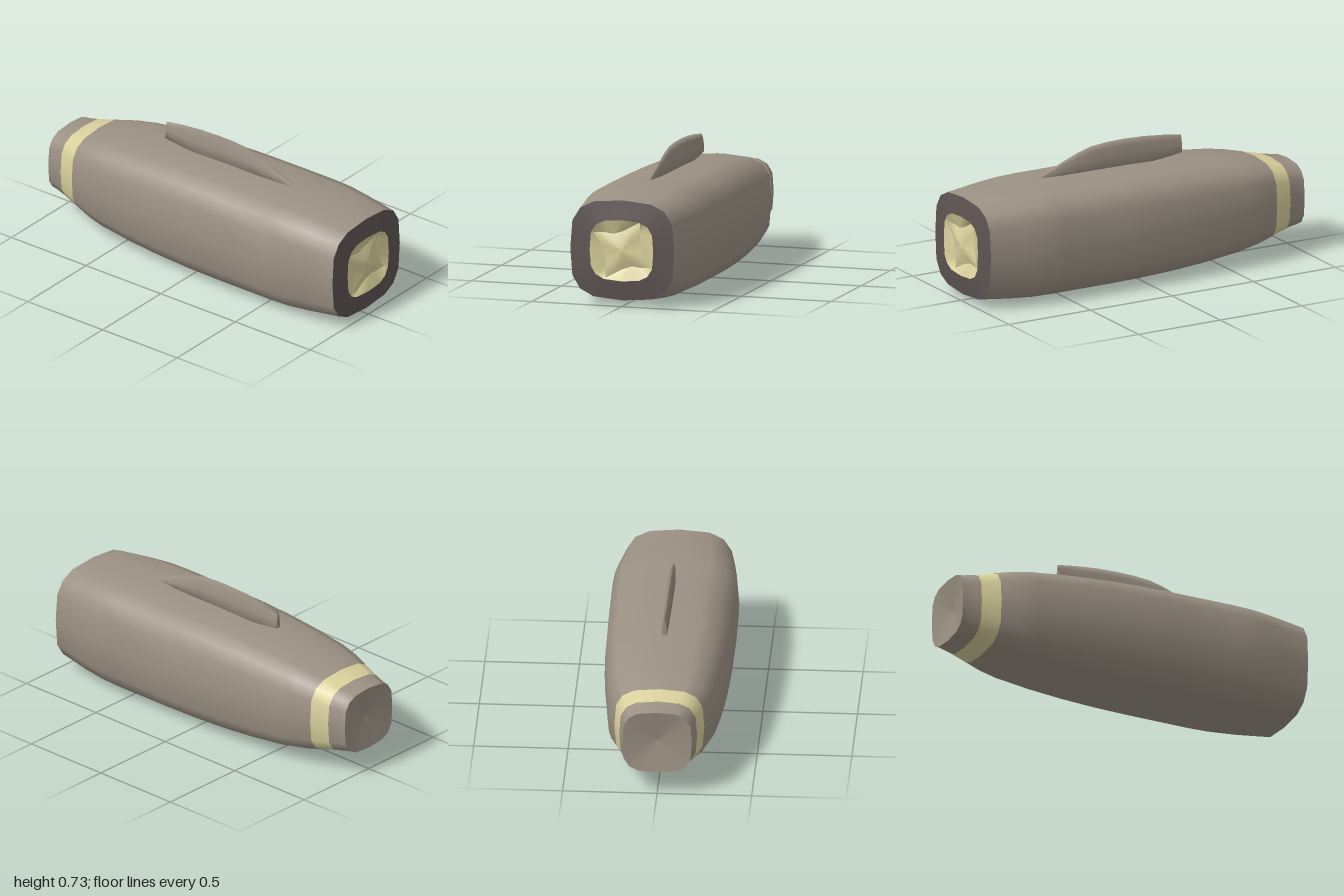
import * as THREE from 'three';

const mat = (name, color) => new THREE.MeshStandardMaterial({ name, color });

// Quarter of the 16-sided rounded-square section, mirrored all the way round
const quarter = [[1, 0], [0.96, 0.55], [0.81, 0.81], [0.55, 0.95]];
const section = [];
for (let q = 0; q < 4; q++) {
  for (let i = 0; i < 4; i++) {
    const swap = q % 2 === 1;
    const [a, b] = swap && i > 0 ? quarter[4 - i] : quarter[i];
    if (q === 0) section.push([a, b]);
    if (q === 1) section.push(i === 0 ? [0, 1] : [-a, b]);
    if (q === 2) section.push([-a, -b]);
    if (q === 3) section.push(i === 0 ? [0, -1] : [a, -b]);
  }
}
const CENTRE = 0.302;

// One ring of the hull section; scale may vary around the ring
const ring = (z, w, h, scale = () => 1) =>
  section.map(([x, y], i) => [x * w * scale(i), CENTRE + y * h * scale(i), z]);

// Skin a list of closed rings; slots gives the material index of each strip
function loft(rings, slots) {
  const n = rings[0].length;
  const geo = new THREE.BufferGeometry();
  geo.setAttribute('position', new THREE.Float32BufferAttribute(rings.flat(2), 3));
  const index = [];
  for (let k = 0; k < rings.length - 1; k++) {
    if (slots) geo.addGroup(index.length, n * 6, slots[k]);
    for (let i = 0; i < n; i++) {
      const a = k * n + i, b = k * n + (i + 1) % n;
      index.push(a, a + n, b, b, a + n, b + n);
    }
  }
  geo.setIndex(index);
  geo.computeVertexNormals();
  return geo;
}

export function createModel() {
  const group = new THREE.Group();
  const hull = mat('hull grey', 0x9c9184);
  const dark = mat('dark intake', 0x5e5453);
  const yellow = mat('pale yellow', 0xdad19c);
  const add = (name, geo, material) => {
    const mesh = new THREE.Mesh(geo, material);
    mesh.name = name;
    group.add(mesh);
  };

  // Hull: z, half width, half height; the strip from -0.8 to -0.9 is yellow
  const stations = [
    [0.985, 0.289, 0.268], [0.95, 0.294, 0.272], [0.8, 0.318, 0.288], [0.67, 0.335, 0.297],
    [0.55, 0.34, 0.299], [0.2, 0.338, 0.299], [0, 0.334, 0.297], [-0.2, 0.325, 0.29],
    [-0.4, 0.311, 0.277], [-0.6, 0.29, 0.257], [-0.7, 0.27, 0.24], [-0.8, 0.238, 0.216],
    [-0.9, 0.206, 0.193], [-0.96, 0.19, 0.181], [-1, 0.184, 0.176],
  ];
  add('hull', loft(stations.map((s) => ring(...s)), stations.map((s) => (s[0] === -0.8 ? 1 : 0))),
    [hull, yellow]);

  // Shallow dished tail cap
  add('tailCap', loft([ring(-1, 0.184, 0.176), ring(-0.97, 0, 0)]), hull);

  // Dark face around the intake
  add('intakeFace', loft([ring(0.999, 0.177, 0.164), ring(0.985, 0.289, 0.268)]), dark);

  // Yellow core: sunken surround and a slightly twisted four-pointed hub
  const star = (i) => [0.62, 0.54, 0.68, 0.98][i % 4];
  add('coreSurround', loft([ring(0.975, 0.177, 0.164, star), ring(0.999, 0.177, 0.164)]), yellow);
  add('coreHub', loft([
    ring(0.997, 0, 0),
    ring(0.992, 0.177, 0.164, (i) => star(i) * 0.5),
    ring(0.975, 0.177, 0.164, star),
  ]), yellow);

  // Dorsal fin: z, bottom, top, half width
  const finStations = [
    [0.52, 0.59, 0.6, 0.002], [0.46, 0.59, 0.632, 0.01], [0.38, 0.59, 0.668, 0.016],
    [0.28, 0.59, 0.706, 0.02], [0.2, 0.59, 0.728, 0.02], [0.1, 0.59, 0.737, 0.019],
    [0, 0.59, 0.738, 0.018], [-0.12, 0.588, 0.734, 0.016], [-0.24, 0.598, 0.722, 0.014],
    [-0.35, 0.612, 0.706, 0.013],
  ];
  const finRings = finStations.map(([z, lo, hi, w]) => {
    const y = (t) => lo + (hi - lo) * t;
    return [[w, y(0), z], [w * 0.85, y(0.45), z], [w * 0.5, y(0.78), z], [0, y(1), z],
      [-w * 0.5, y(0.78), z], [-w * 0.85, y(0.45), z], [-w, y(0), z]];
  });
  add('fin', loft(finRings), hull);
  const back = finRings[finRings.length - 1];
  add('finEnd', loft([back, back.map(() => [0, 0.655, -0.35])]), hull);

  return group;
}
